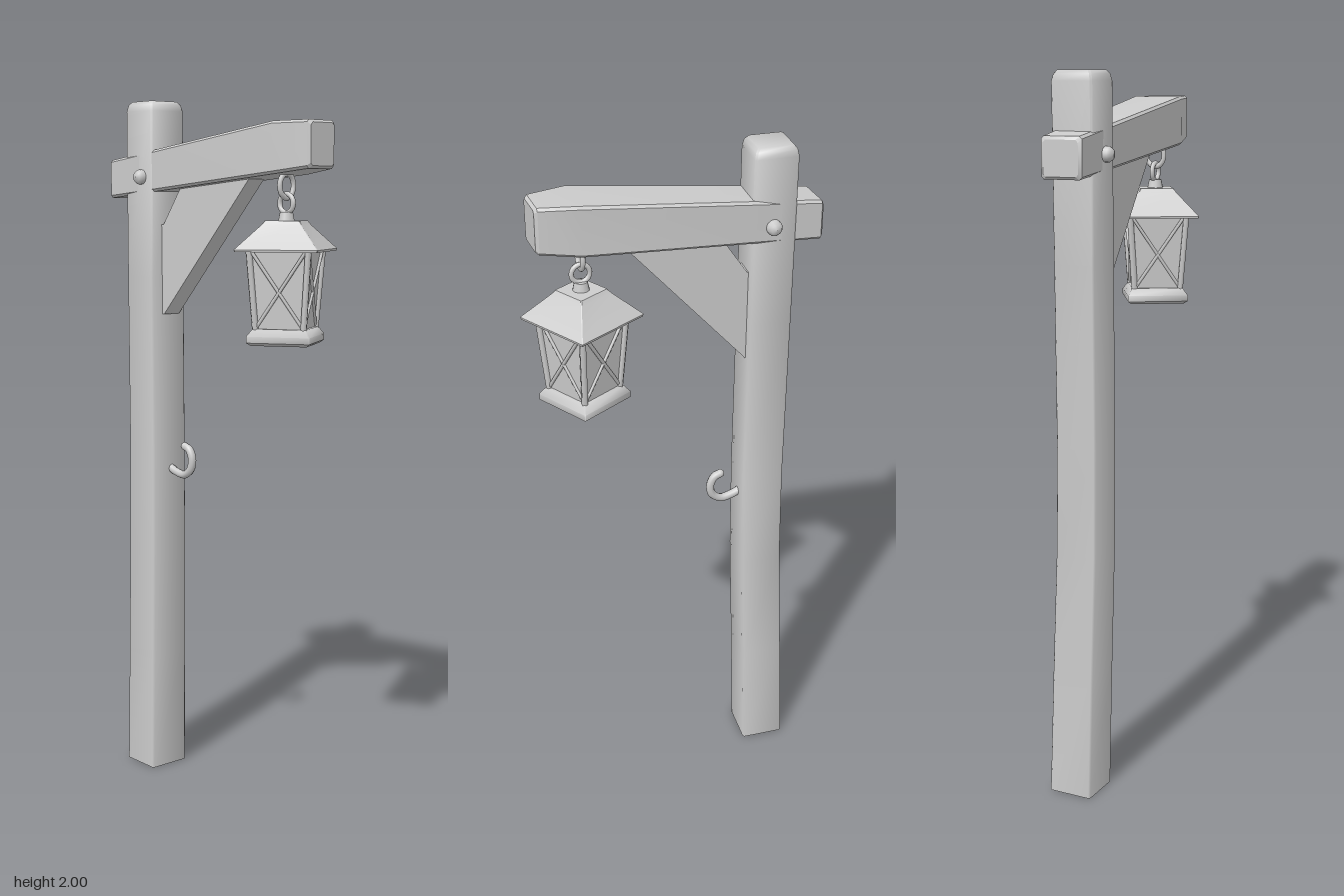
import * as THREE from 'three';
import { toCreasedNormals } from 'three/addons/utils/BufferGeometryUtils.js';

const grey = new THREE.MeshStandardMaterial({ color: 0xcccccc });
grey.name = 'plainGrey';

function add(parent, name, geometry, x = 0, y = 0, z = 0) {
  const mesh = new THREE.Mesh(geometry, grey);
  mesh.name = name;
  mesh.position.set(x, y, z);
  parent.add(mesh);
  return mesh;
}

// Loft of bevelled rectangles along y; section = [y, centreX, centreZ, halfX, halfZ, bevel]
function loft(sections, crease = 0.5) {
  const pos = [], idx = [];
  for (const [y, cx, cz, a, b, c] of sections) {
    const ring = [[a, c - b], [a, b - c], [a - c, b], [c - a, b],
      [-a, b - c], [-a, c - b], [c - a, -b], [a - c, -b]];
    for (const [x, z] of ring) pos.push(cx + x, y, cz + z);
  }
  const last = (sections.length - 1) * 8;
  for (let i = 0; i < last; i += 8) {
    for (let j = 0; j < 8; j++) {
      const k = (j + 1) % 8;
      idx.push(i + j, i + 8 + j, i + k, i + k, i + 8 + j, i + 8 + k);
    }
  }
  for (let k = 1; k < 7; k++) idx.push(0, k, k + 1, last, last + k + 1, last + k);
  const g = new THREE.BufferGeometry();
  g.setAttribute('position', new THREE.Float32BufferAttribute(pos, 3));
  g.setIndex(idx);
  return toCreasedNormals(g, crease);
}

// Straight bar between two points
function bar(parent, name, from, to, radius) {
  const a = new THREE.Vector3(...from), b = new THREE.Vector3(...to);
  const d = b.clone().sub(a);
  const mesh = add(parent, name, new THREE.CylinderGeometry(radius, radius, d.length(), 6));
  mesh.position.copy(a).add(b).multiplyScalar(0.5);
  mesh.quaternion.setFromUnitVectors(new THREE.Vector3(0, 1, 0), d.normalize());
}

function buildLantern() {
  const lantern = new THREE.Group();
  lantern.name = 'lantern';
  const square = (y, h, c = 0.002) => [y, 0, 0, h, h, c];

  add(lantern, 'lanternBase', loft([square(1.33, 0.078), square(1.338, 0.088),
    square(1.355, 0.088), square(1.375, 0.074)], 1));
  add(lantern, 'lanternPanes', loft([square(1.37, 0.066), square(1.605, 0.081)]));
  add(lantern, 'lanternRoof', loft([square(1.592, 0.08), square(1.582, 0.114),
    square(1.588, 0.115), square(1.652, 0.056), square(1.664, 0.048)]));
  add(lantern, 'roofKnob', new THREE.CylinderGeometry(0.018, 0.024, 0.03, 12), 0, 1.672, 0);

  // Corner bars and crossed bars, repeated on four sides
  for (let i = 0; i < 4; i++) {
    const side = new THREE.Group();
    side.name = 'lanternSide';
    side.rotation.y = i * Math.PI / 2;
    lantern.add(side);
    const lo = 0.067, hi = 0.083;
    bar(side, 'cornerBar', [lo, 1.37, lo], [hi, 1.6, hi], 0.009);
    bar(side, 'crossBar', [-lo, 1.375, lo], [hi, 1.595, hi], 0.005);
    bar(side, 'crossBar', [lo, 1.375, lo], [-hi, 1.595, hi], 0.005);
  }

  // Two linked rings
  const lower = add(lantern, 'lowerRing', new THREE.TorusGeometry(0.025, 0.007, 8, 20), 0, 1.71, 0);
  lower.rotation.y = -0.5;
  const upper = add(lantern, 'upperRing', new THREE.TorusGeometry(0.027, 0.007, 8, 20), 0, 1.757, 0);
  upper.rotation.y = -0.5 + Math.PI / 2;
  upper.scale.y = 1.2;
  return lantern;
}

export function createModel() {
  const model = new THREE.Group();
  model.name = 'lanternPost';

  // Stand: local +x runs along the arm
  const stand = new THREE.Group();
  stand.name = 'stand';
  stand.position.set(-0.2, 0, -0.176);
  stand.rotation.y = -THREE.MathUtils.degToRad(40.5);
  model.add(stand);

  // Slightly bent post
  const post = add(stand, 'post', loft([
    [0, -0.019, -0.007, 0.064, 0.064, 0.005],
    [0.35, -0.008, -0.003, 0.0625, 0.0625, 0.005],
    [0.7, 0.004, 0.002, 0.061, 0.061, 0.005],
    [1.0, 0.007, 0.003, 0.06, 0.06, 0.005],
    [1.5, 0.003, 0.002, 0.06, 0.06, 0.005],
    [1.972, 0, 0, 0.06, 0.06, 0.005],
    [1.99, 0, 0, 0.056, 0.056, 0.005],
    [2, 0, 0, 0.048, 0.048, 0.005]], 1));
  post.rotation.y = -0.08;

  // Arm: [distance, bottom, top, half width]
  const armRows = [
    [-0.137, 1.733, 1.827, 0.049], [-0.13, 1.726, 1.836, 0.057],
    [0.537, 1.787, 1.925, 0.076], [0.642, 1.8, 1.926, 0.053], [0.65, 1.807, 1.919, 0.046]];
  const arm = loft(armRows.map(([d, lo, hi, w]) =>
    [d, -(lo + hi) / 2, 0, (hi - lo) / 2, w, 0.007]));
  arm.rotateZ(-Math.PI / 2);
  add(stand, 'arm', arm);

  // Brace between post and arm
  const outline = [[0.05, 1.39], [0.068, 1.39], [0.41, 1.775], [0.4, 1.8],
    [0.16, 1.785], [0.14, 1.755], [0.068, 1.65], [0.05, 1.65]];
  const brace = new THREE.Shape(outline.map(([x, y]) => new THREE.Vector2(x, y)));
  add(stand, 'brace', new THREE.ExtrudeGeometry(brace, { depth: 0.06, bevelEnabled: false }), 0, 0, -0.03);

  // Bolt through the joint
  for (const s of [-1, 1]) {
    const profile = [[0.021, 0], [0.021, 0.014], [0.014, 0.024], [0, 0.027]];
    const bolt = add(stand, 'boltHead', new THREE.LatheGeometry(
      profile.map(([x, y]) => new THREE.Vector2(x, y)), 14), 0.01, 1.785, s * 0.059);
    bolt.rotation.x = s * Math.PI / 2;
  }

  // Curled hook
  const points = [[0.05, 0.937], [0.085, 0.922], [0.12, 0.917], [0.146, 0.935],
    [0.153, 0.968], [0.14, 0.995], [0.122, 1.002]].map(([x, y]) => new THREE.Vector3(x, y, 0));
  add(stand, 'hook', new THREE.TubeGeometry(new THREE.CatmullRomCurve3(points), 28, 0.012, 8));
  add(stand, 'hookTip', new THREE.SphereGeometry(0.012, 8, 6), 0.122, 1.002, 0);

  const lantern = buildLantern();
  lantern.position.set(0.1975, 0, 0.163);
  lantern.rotation.y = -THREE.MathUtils.degToRad(12.5);
  model.add(lantern);
  return model;
}
